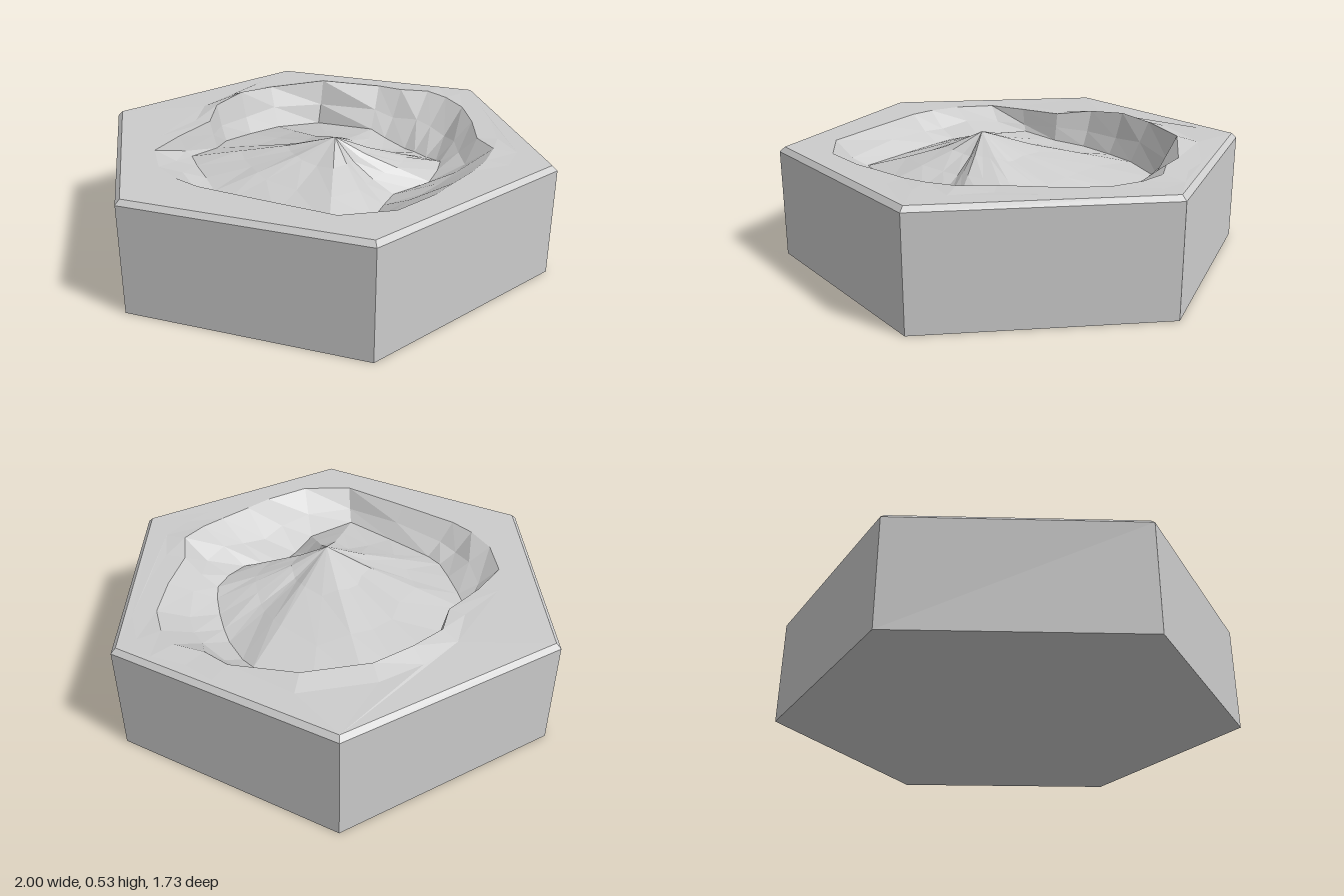
import * as THREE from 'three';

// Crater rim and foot of the crater wall: x, y, z per point, paired, running back -> +x -> front -> -x
const RIM = [
  0.05, 0.49, -0.73, 0.17, 0.49, -0.71, 0.3, 0.49, -0.73, 0.4, 0.485, -0.68, 0.5, 0.48, -0.58,
  0.58, 0.48, -0.4, 0.64, 0.48, -0.2, 0.73, 0.49, -0.08, 0.72, 0.485, 0.05, 0.69, 0.48, 0.16,
  0.64, 0.48, 0.3, 0.6, 0.48, 0.42, 0.5, 0.48, 0.6, 0.31, 0.48, 0.71, 0, 0.48, 0.68,
  -0.27, 0.48, 0.65, -0.38, 0.48, 0.61, -0.5, 0.48, 0.53, -0.6, 0.48, 0.38, -0.58, 0.48, 0.2,
  -0.53, 0.485, 0, -0.57, 0.505, -0.16, -0.52, 0.52, -0.33, -0.43, 0.51, -0.48, -0.22, 0.51, -0.66,
];
const FOOT = [
  0.07, 0.33, -0.54, 0.15, 0.31, -0.5, 0.27, 0.3, -0.42, 0.33, 0.31, -0.37, 0.4, 0.32, -0.3,
  0.46, 0.34, -0.23, 0.49, 0.36, -0.18, 0.5, 0.36, -0.08, 0.49, 0.35, 0.03, 0.43, 0.34, 0.1,
  0.37, 0.33, 0.16, 0.36, 0.33, 0.27, 0.36, 0.34, 0.42, 0.24, 0.36, 0.6, 0, 0.36, 0.55,
  -0.22, 0.36, 0.5, -0.3, 0.37, 0.45, -0.38, 0.38, 0.36, -0.47, 0.38, 0.26, -0.54, 0.38, 0.17,
  -0.5, 0.36, 0, -0.52, 0.34, -0.14, -0.46, 0.33, -0.29, -0.37, 0.33, -0.42, -0.22, 0.31, -0.59,
];
const PEAK = new THREE.Vector3(0.1, 0.53, 0.11);
const SIDE_H = 0.46, TOP_H = 0.48, TOP_R = 0.978;

const points = (list) =>
  Array.from({ length: list.length / 3 }, (_, i) => new THREE.Vector3().fromArray(list, i * 3));

// Faceted surface through closed rings, listed from the outside in
function loft(rings) {
  const verts = [];
  const tri = (...ps) => ps.forEach((p) => verts.push(p.x, p.y, p.z));
  for (let r = 0; r < rings.length - 1; r++) {
    const outer = rings[r], inner = rings[r + 1], n = outer.length;
    for (let i = 0; i < n; i++) {
      const j = (i + 1) % n;
      tri(outer[i], inner[i], inner[j]);
      if (outer[i] !== outer[j]) tri(outer[i], inner[j], outer[j]);
    }
  }
  const geo = new THREE.BufferGeometry();
  geo.setAttribute('position', new THREE.Float32BufferAttribute(verts, 3));
  geo.computeVertexNormals();
  return geo;
}

export function createModel() {
  const group = new THREE.Group();
  const material = new THREE.MeshStandardMaterial({ color: 0xcccccc, flatShading: true });
  const add = (name, geo) => {
    const mesh = new THREE.Mesh(geo, material);
    mesh.name = name;
    group.add(mesh);
    return mesh;
  };
  const hexWall = (top, bottom, height) =>
    new THREE.CylinderGeometry(top, bottom, height, 6, 1, true, Math.PI / 2);

  // Hexagonal base
  add('sideWalls', hexWall(1, 1, SIDE_H)).position.y = SIDE_H / 2;
  add('edgeBevel', hexWall(TOP_R, 1, TOP_H - SIDE_H)).position.y = (SIDE_H + TOP_H) / 2;
  add('underside', new THREE.CircleGeometry(1, 6)).rotation.x = Math.PI / 2;

  // Crater rings: outer bank, rim, wall, foot, then the central mound up to its peak
  const rim = points(RIM), foot = points(FOOT);
  const bank = rim.map((p) => new THREE.Vector3(p.x * 1.13, TOP_H + (p.y - TOP_H) * 0.2, p.z * 1.13));
  const wall = rim.map((p, i) => {
    const v = p.clone().lerp(foot[i], 0.5);
    v.y -= 0.012 * (1 + Math.sin(i * 2.1));
    return v;
  });
  const moundRing = (t, rise, wobble) => foot.map((p, i) => {
    const v = p.clone().lerp(PEAK, t);
    v.y = p.y + (PEAK.y - p.y) * rise + wobble * Math.sin(i * 1.7);
    return v;
  });

  // Flat ground between the hexagon edge and the crater bank
  const hex = Array.from({ length: 6 }, (_, i) =>
    new THREE.Vector2(TOP_R * Math.cos((i * Math.PI) / 3), TOP_R * Math.sin((i * Math.PI) / 3)));
  const shape = new THREE.Shape(hex);
  shape.holes.push(new THREE.Path(bank.map((p) => new THREE.Vector2(p.x, -p.z))));
  const ground = new THREE.ShapeGeometry(shape).rotateX(-Math.PI / 2);
  const pos = ground.attributes.position;
  for (let i = 0; i < pos.count; i++) {
    const match = bank.find((p) => Math.hypot(p.x - pos.getX(i), p.z - pos.getZ(i)) < 1e-4);
    pos.setY(i, match ? match.y : TOP_H);
  }
  ground.computeVertexNormals();
  add('ground', ground);

  add('craterRim', loft([bank, rim]));
  add('craterWall', loft([rim, wall, foot]));
  add('centralMound', loft([
    foot, moundRing(0.35, 0.28, 0.008), moundRing(0.68, 0.58, 0.008), foot.map(() => PEAK),
  ]));
  return group;
}
